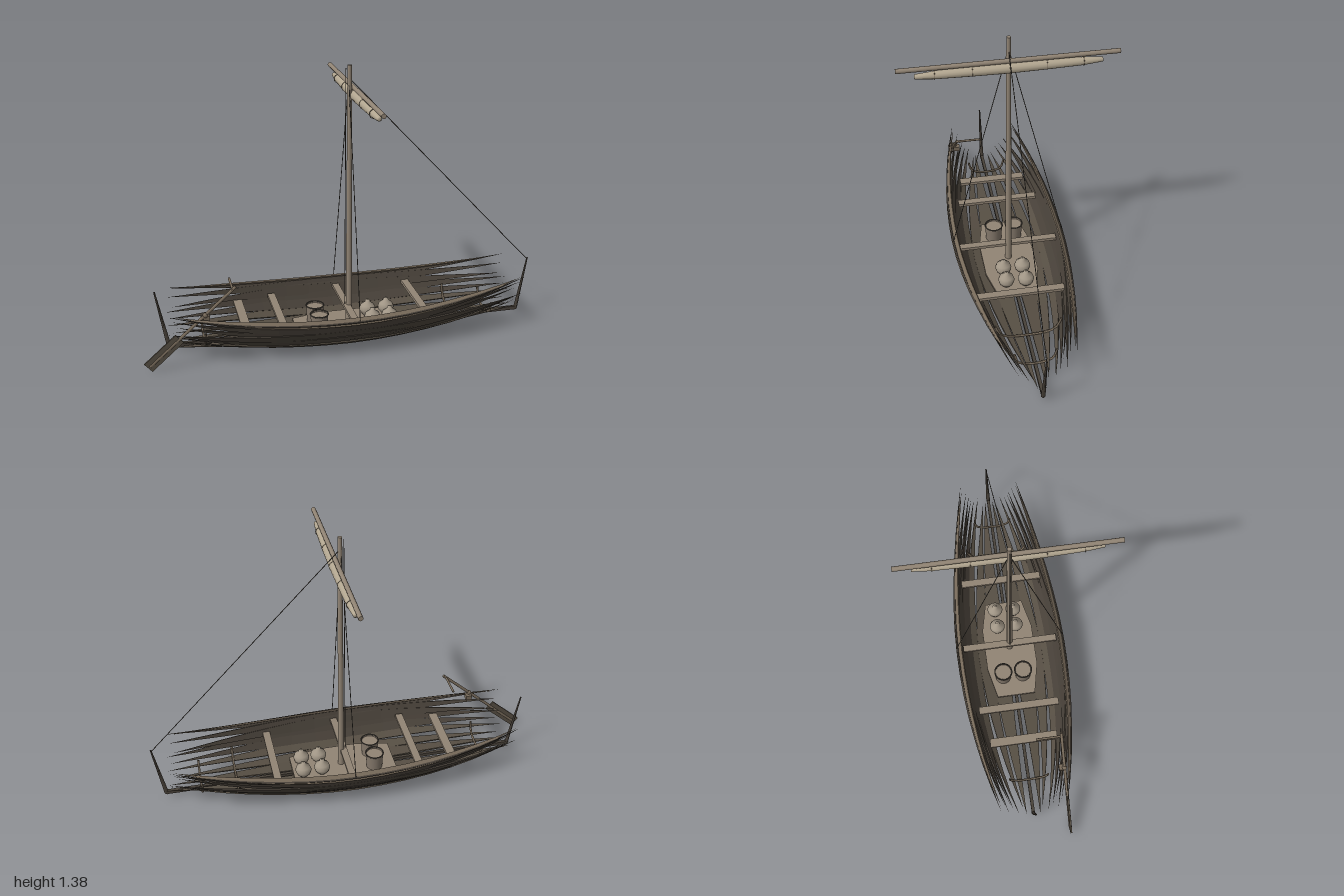
import * as THREE from 'three';

const mat = (name, color, side = THREE.FrontSide) => {
  const m = new THREE.MeshStandardMaterial({ color, side });
  m.name = name;
  return m;
};
const V = (x, y, z) => new THREE.Vector3(x, y, z);

export function createModel() {
  const boat = new THREE.Group();
  boat.name = 'sailingBoat';
  const hullWood = mat('dark hull wood', 0x484139, THREE.DoubleSide);
  const bottomWood = mat('bottom hull wood', 0x564e43, THREE.DoubleSide);
  const railWood = mat('rail wood', 0x776a5a, THREE.DoubleSide);
  const lightWood = mat('light wood', 0x918474);
  const canvas = mat('canvas', 0xb2a690);
  const rope = mat('rope', 0x4f4a43);
  const clay = mat('clay', 0xa19686);
  const wicker = mat('wicker', 0x83776a, THREE.DoubleSide);

  const add = (name, geo, material, pos) => {
    const m = new THREE.Mesh(geo, material);
    m.name = name;
    if (pos) m.position.copy(pos);
    boat.add(m);
    return m;
  };
  // round or square bar between two points
  const bar = (name, a, b, r0, r1, material, sides = 8) => {
    const d = b.clone().sub(a);
    const m = add(name, new THREE.CylinderGeometry(r1, r0, d.length(), sides), material, a.clone().add(b).multiplyScalar(0.5));
    m.quaternion.setFromUnitVectors(V(0, 1, 0), d.normalize());
    return m;
  };
  // faceted skin over rings of points
  const loft = (rings) => {
    const pos = [];
    const n = rings[0].length;
    for (let i = 0; i < rings.length - 1; i++) {
      for (let j = 0; j < n; j++) {
        const k = (j + 1) % n;
        const [a, b, c, d] = [rings[i][j], rings[i][k], rings[i + 1][k], rings[i + 1][j]];
        for (const p of [a, b, c, a, c, d]) pos.push(p.x, p.y, p.z);
      }
    }
    const g = new THREE.BufferGeometry();
    g.setAttribute('position', new THREE.Float32BufferAttribute(pos, 3));
    g.computeVertexNormals();
    return g;
  };

  // hull planks: [mid z, mid y, tip z, tip y, half width, tilt in degrees, tip inset]
  const strakes = [
    [0.064, 0.032, 0.02, 0.06, 0.052, -4, 0.0],
    [0.138, 0.03, 0.035, 0.09, 0.036, 12, 0.03],
    [0.197, 0.052, 0.06, 0.12, 0.032, 34, 0.0],
    [0.225, 0.084, 0.085, 0.145, 0.034, 52, 0.02],
    [0.244, 0.116, 0.11, 0.17, 0.034, 64, 0.0],
    [0.256, 0.143, 0.1, 0.2, 0.032, 68, 0.04],
    [0.265, 0.165, 0.125, 0.245, 0.03, 70, 0.02],
    [0.273, 0.181, 0.152, 0.285, 0.022, 60, 0.0],
  ];
  const plank = ([zm, ym, zt, yt, w, tilt, inset], s, thick, taper) => {
    const rings = [];
    const steps = 14;
    for (let i = 0; i <= steps; i++) {
      const u = (i / steps) * 2 - 1;
      const a = Math.abs(u);
      const bow = u > 0;
      const x = u * ((bow ? 0.92 : 0.88) - inset);
      const z = zm + (zt + (bow ? 0 : 0.015) - zm) * Math.pow(a, bow ? 1.75 : 2.2);
      const y = ym + (yt - (bow ? 0 : 0.015) - ym) * a * a;
      const t = THREE.MathUtils.degToRad(tilt);
      const h = w * (1 - Math.pow(a, taper));
      const k = thick * Math.min(1, (1 - a) * 3);
      const corner = (p, q) => V(x,
        y + Math.sin(t) * h * p - Math.cos(t) * k * q,
        s * (z + Math.cos(t) * h * p + Math.sin(t) * k * q));
      rings.push([corner(-1, -1), corner(1, -1), corner(1, 1), corner(-1, 1)]);
    }
    return loft(rings);
  };
  for (const s of [1, -1]) {
    strakes.forEach((row, i) => add('hullPlank' + (i + 1), plank(row, s, 0.004, 1.25), i < 3 ? bottomWood : hullWood));
    // rail slopes outward and down
    add('gunwale', plank([0.272, 0.196, 0.15, 0.28, 0.019, -42, 0.03], s, 0.004, 2.2), railWood);
  }

  // backbone
  add('keel', new THREE.BoxGeometry(1.81, 0.018, 0.016), hullWood, V(0.033, 0.038, 0));
  bar('stemPost', V(0.937, 0.03, 0), V(0.988, 0.32, 0), 0.011, 0.004, hullWood, 4);
  bar('sternPost', V(-0.872, 0.03, 0), V(-0.928, 0.33, 0), 0.011, 0.004, hullWood, 4);

  // curved ribs: [x, half width, top height]
  for (const [x, w, top] of [[-0.7, 0.1, 0.13], [0.58, 0.16, 0.14], [0.76, 0.1, 0.13]]) {
    const path = new THREE.CatmullRomCurve3([
      V(x, top, -w), V(x, 0.075, -w * 0.8), V(x, 0.055, 0), V(x, 0.075, w * 0.8), V(x, top, w)]);
    add('rib', new THREE.TubeGeometry(path, 14, 0.006, 5), railWood);
  }

  // floor and benches
  const floor = new THREE.Shape([[-0.24, -0.1], [-0.08, -0.135], [0.14, -0.135], [0.29, -0.1], [0.29, 0.1], [0.14, 0.135], [-0.08, 0.135], [-0.24, 0.1]]
    .map(([x, z]) => new THREE.Vector2(x, z)));
  const floorGeo = new THREE.ExtrudeGeometry(floor, { depth: 0.012, bevelEnabled: false }).rotateX(-Math.PI / 2);
  add('floor', floorGeo, lightWood, V(0, 0.05, 0));
  for (const [x, len, w] of [[-0.507, 0.35, 0.045], [-0.328, 0.42, 0.038], [0.022, 0.5, 0.035], [0.39, 0.43, 0.038]]) {
    add('bench', new THREE.BoxGeometry(w, 0.016, len), lightWood, V(x, 0.153, 0));
  }

  // mast and rigging
  bar('mast', V(0.034, 0.035, 0), V(0.034, 1.385, 0), 0.017, 0.0105, lightWood, 12);
  bar('halyard', V(0.012, 0.16, 0), V(0.016, 1.37, 0), 0.002, 0.002, rope, 5);
  for (const s of [1, -1]) bar('shroud', V(0.02, 0.2, s * 0.282), V(0.03, 1.31, s * 0.003), 0.002, 0.002, rope, 5);
  bar('forestay', V(0.987, 0.31, 0), V(0.04, 1.315, 0), 0.002, 0.002, rope, 5);

  // yard with furled sail
  bar('yard', V(0.057, 1.274, -0.512), V(0.057, 1.274, 0.512), 0.0115, 0.0115, lightWood, 10);
  const sail = [[0, -0.43], [0.011, -0.43], [0.019, -0.34], [0.023, -0.17], [0.025, 0], [0.023, 0.17], [0.019, 0.34], [0.011, 0.43], [0, 0.43]]
    .map(([r, h]) => new THREE.Vector2(r, h));
  add('furledSail', new THREE.LatheGeometry(sail, 14).rotateX(Math.PI / 2), canvas, V(0.06, 1.239, 0));
  for (const [z, r] of [[-0.34, 0.021], [-0.17, 0.023], [0, 0.025], [0.17, 0.023], [0.34, 0.021]]) {
    add('sailTie', new THREE.TorusGeometry(r, 0.0015, 5, 18), railWood, V(0.06, 1.239, z));
  }

  // steering oar with tiller and pivot
  bar('oarShaft', V(-0.975, 0.03, 0.178), V(-0.557, 0.4, 0.178), 0.008, 0.008, railWood);
  const blade = add('oarBlade', new THREE.BoxGeometry(0.205, 0.055, 0.009), bottomWood, V(-0.908, 0.092, 0.178));
  blade.rotation.z = Math.atan2(0.37, 0.418);
  bar('tiller', V(-0.572, 0.387, 0.185), V(-0.572, 0.387, 0.05), 0.006, 0.006, railWood);
  add('oarLashing', new THREE.SphereGeometry(0.013, 10, 8), railWood, V(-0.705, 0.268, 0.178));
  add('oarBracket', new THREE.BoxGeometry(0.03, 0.025, 0.035), railWood, V(-0.7, 0.25, 0.168));

  // cargo: clay jars and open baskets
  const jar = [[0, 0], [0.018, 0], [0.036, 0.022], [0.041, 0.04], [0.034, 0.06], [0.014, 0.074], [0.012, 0.086], [0, 0.088]]
    .map(([r, y]) => new THREE.Vector2(r, y));
  for (const [x, z] of [[0.145, -0.052], [0.242, -0.052], [0.145, 0.046], [0.235, 0.046]]) {
    add('jar', new THREE.LatheGeometry(jar, 16), clay, V(x, 0.06, z));
  }
  for (const z of [-0.056, 0.05]) {
    add('basket', new THREE.CylinderGeometry(0.045, 0.041, 0.085, 16, 1, true), wicker, V(-0.13, 0.104, z));
    add('basketRim', new THREE.TorusGeometry(0.045, 0.0035, 6, 20).rotateX(Math.PI / 2), rope, V(-0.13, 0.146, z));
    add('basketFill', new THREE.CylinderGeometry(0.042, 0.042, 0.006, 16), lightWood, V(-0.13, 0.135, z));
  }
  return boat;
}
